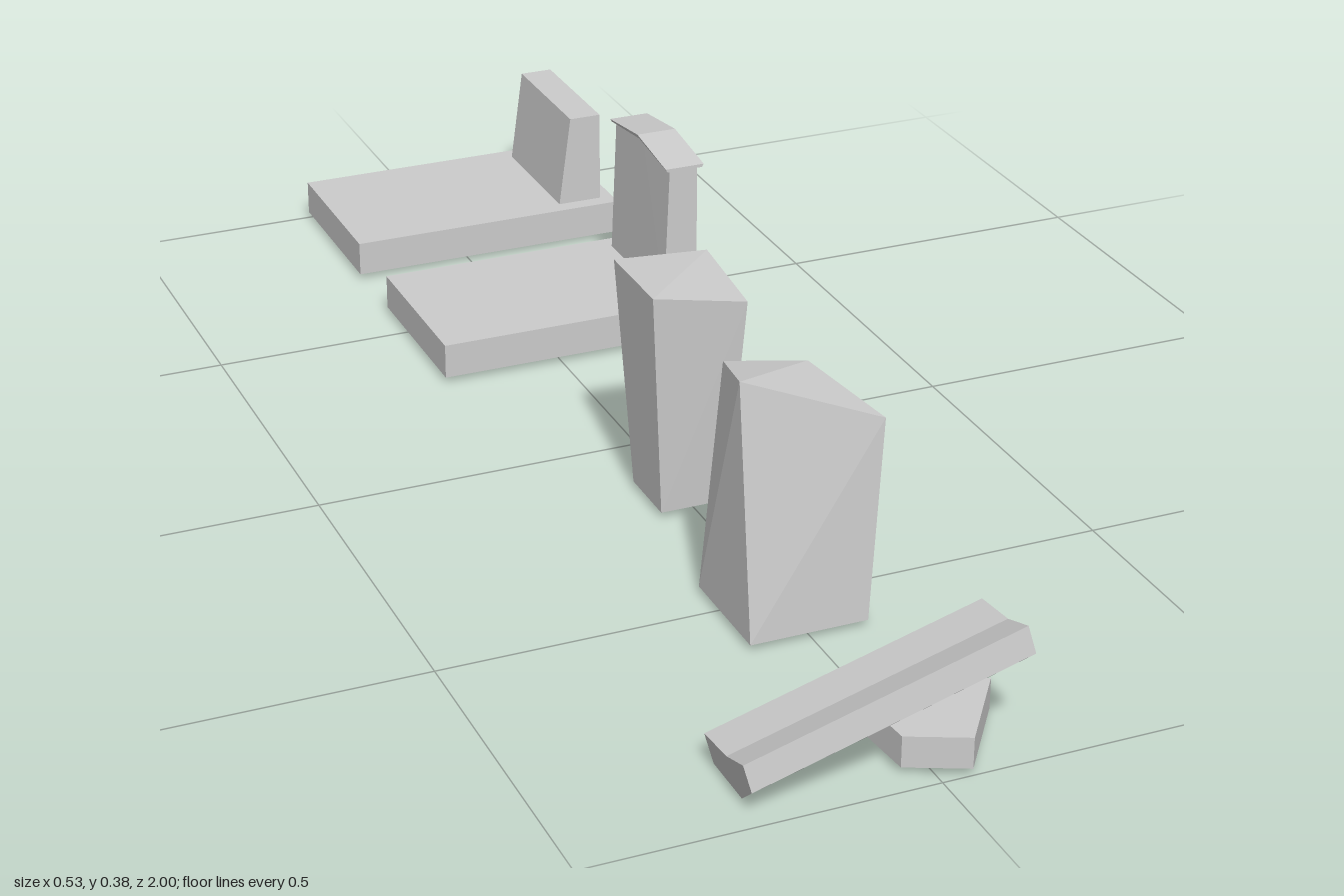
import * as THREE from 'three';

const material = new THREE.MeshStandardMaterial({ color: 0xcccccc, flatShading: true });

// Solid between two matching rings of [x, y, z]; rings run counterclockwise seen from the end ring.
function loft(name, start, end) {
  const n = start.length;
  const pos = [];
  const tri = (a, b, c) => pos.push(...a, ...b, ...c);
  for (let i = 0; i < n; i++) {
    const j = (i + 1) % n;
    tri(start[i], start[j], end[j]);
    tri(start[i], end[j], end[i]);
  }
  for (let i = 1; i < n - 1; i++) {
    tri(start[0], start[i + 1], start[i]);
    tri(end[0], end[i], end[i + 1]);
  }
  const geometry = new THREE.BufferGeometry();
  geometry.setAttribute('position', new THREE.Float32BufferAttribute(pos, 3));
  geometry.computeVertexNormals();
  const mesh = new THREE.Mesh(geometry, material);
  mesh.name = name;
  return mesh;
}

// Rectangle ring at height y: front left, front right, back right, back left
const rect = (x0, x1, z0, z1, y) => [[x0, y, z1], [x1, y, z1], [x1, y, z0], [x0, y, z0]];

function graveSlab(z) {
  const slab = new THREE.Mesh(new THREE.BoxGeometry(0.462, 0.055, 0.28), material);
  slab.position.set(0.036, 0.0375, z);
  slab.name = 'graveSlab';
  return slab;
}

// Grave with a plain, sloped-face headstone
function plainGrave(z) {
  const grave = new THREE.Group();
  grave.name = 'plainGrave';
  const z0 = z - 0.114, z1 = z + 0.114;
  grave.add(graveSlab(z), loft('plainHeadstone',
    rect(0.171, 0.245, z0, z1, 0.065), rect(0.192, 0.245, z0, z1, 0.217)));
  return grave;
}

// Grave with a gabled headstone under a thin pitched cap
function gabledGrave(z) {
  const grave = new THREE.Group();
  grave.name = 'gabledGrave';
  const b = 0.11, c = 0.115;
  const profile = [[b, 0.065], [-b, 0.065], [-b, 0.285], [0, 0.298], [b, 0.285]];
  const side = (bottomX, topX) =>
    profile.map(([dz, y]) => [y < 0.1 ? bottomX : topX, y, z + dz]);
  const cap = [[0, 0.298], [-c, 0.284], [-c, 0.289], [0, 0.305], [c, 0.289], [c, 0.284]];
  const capEnd = (x, inset) =>
    cap.map(([dz, y], i) => [i < 2 || i === 5 ? x + inset : x, y, z + dz]);
  grave.add(
    graveSlab(z),
    loft('gabledHeadstone', side(0.187, 0.196), side(0.243, 0.243)),
    loft('headstoneCap', capEnd(0.187, 0.003), capEnd(0.252, -0.003)));
  return grave;
}

// Fallen stone: one irregular cross-section swept along a rising axis
function fallenStone() {
  const section = [[0.91, 0.32], [0.973, 0], [0.98, 0.49], [0.93, 1], [0.843, 1], [0.836, 0.45]];
  const ring = (x, y, dz) => section.map(([z, t]) => [x + 0.019 * t, y - 0.079 * t, z + dz]);
  return loft('fallenStone', ring(-0.267, 0.079, 0.005), ring(0.127, 0.185, 0));
}

export function createModel() {
  const model = new THREE.Group();
  model.name = 'graveyardStones';
  model.add(plainGrave(-0.86), gabledGrave(-0.442));

  // Standing stone that widens towards its slanted top
  model.add(loft('flaredStone', rect(-0.057, 0.046, 0.126, 0.23, 0.01), [
    [-0.078, 0.361, 0.247], [0.067, 0.331, 0.247], [0.067, 0.352, 0.104], [-0.078, 0.362, 0.104],
  ]));

  // Standing stone that narrows towards its broken top
  model.add(loft('taperedStone', rect(-0.092, 0.084, 0.445, 0.617, 0.01), [
    [-0.092, 0.384, 0.57], [0.108, 0.307, 0.602], [0.047, 0.351, 0.486], [-0.07, 0.364, 0.468],
  ]));

  model.add(fallenStone());

  // Small block propping the fallen stone
  const block = (y) => [[-0.04, y, 0.962], [0.043, y, 1], [0.13, y, 0.88], [-0.05, y, 0.855]];
  model.add(loft('propBlock', block(0.01), block(0.056)));
  return model;
}
